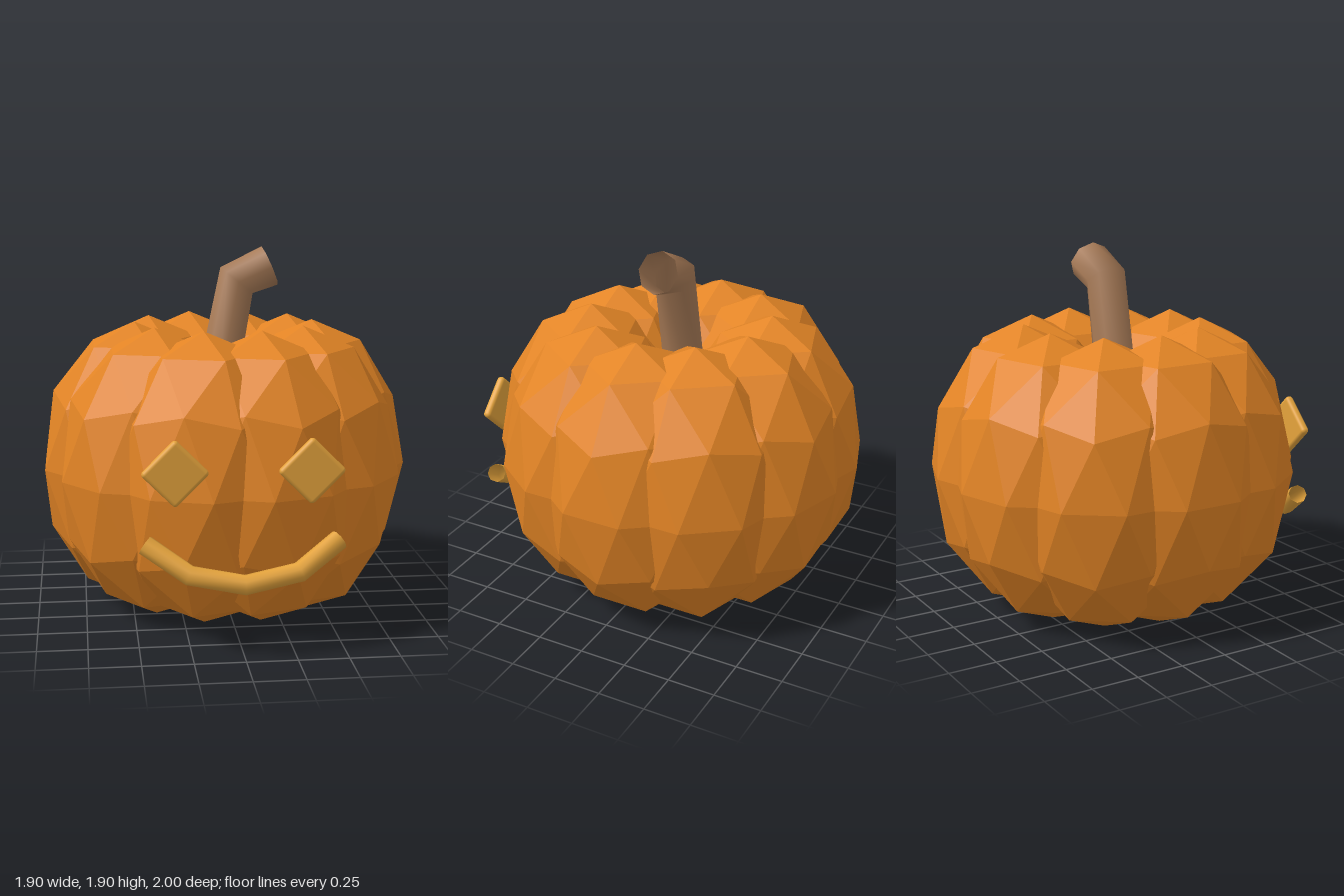
import * as THREE from 'three';
import { RoundedBoxGeometry } from 'three/addons/geometries/RoundedBoxGeometry.js';

// Open eight-sided tube with one constant-radius ring per path point
function pipe(points, radius, side) {
  const n = 8, pos = [], index = [];
  const pts = points.map(p => new THREE.Vector3(...p));
  const dir = (a, b) => new THREE.Vector3().subVectors(b, a).normalize();
  pts.forEach((p, i) => {
    const t = new THREE.Vector3();
    if (i > 0) t.add(dir(pts[i - 1], p));
    if (i < pts.length - 1) t.add(dir(p, pts[i + 1]));
    t.normalize();
    const u = new THREE.Vector3().crossVectors(side, t).normalize();
    const v = new THREE.Vector3().crossVectors(t, u);
    for (let k = 0; k < n; k++) {
      const a = (k / n) * Math.PI * 2;
      const q = p.clone().addScaledVector(u, Math.cos(a) * radius).addScaledVector(v, Math.sin(a) * radius);
      pos.push(q.x, q.y, q.z);
      if (i > 0) {
        const k2 = (k + 1) % n, lo = (i - 1) * n, hi = i * n;
        index.push(lo + k, lo + k2, hi + k, lo + k2, hi + k2, hi + k);
      }
    }
  });
  const g = new THREE.BufferGeometry();
  g.setAttribute('position', new THREE.Float32BufferAttribute(pos, 3));
  g.setIndex(index);
  g.computeVertexNormals();
  return g;
}

export function createModel() {
  const model = new THREE.Group();
  model.name = 'carvedPumpkin';
  const skin = new THREE.MeshStandardMaterial({ name: 'pumpkinOrange', color: 0xe28425, flatShading: true });
  const glow = new THREE.MeshStandardMaterial({ name: 'faceYellow', color: 0xe4a33c, side: THREE.DoubleSide });
  const bark = new THREE.MeshStandardMaterial({ name: 'stemBrown', color: 0xa87b57, side: THREE.DoubleSide });
  const add = (name, geometry, material, parent = model) => {
    const mesh = new THREE.Mesh(geometry, material);
    mesh.name = name;
    parent.add(mesh);
    return mesh;
  };

  // Body: ten stretched, overlapping low-poly spheres, all facing the same way
  const body = new THREE.Group();
  body.name = 'body';
  body.position.set(0, 0.758, -0.045);
  model.add(body);
  const lobe = new THREE.IcosahedronGeometry(1, 1);
  lobe.rotateZ(-Math.atan(2 / (1 + Math.sqrt(5)))); // a vertex points straight up
  lobe.scale(0.504, 0.756, 0.504);
  for (let i = 0; i < 10; i++) {
    const a = (i / 10) * Math.PI * 2;
    add('lobe', lobe, skin, body).position.set(Math.cos(a) * 0.472, 0, Math.sin(a) * 0.472);
  }

  // Stem: bent, open at the tip
  add('stem', pipe([[-0.04, 1.15, -0.045], [0.07, 1.725, -0.045], [0.245, 1.8, -0.045]],
    0.11, new THREE.Vector3(0, 0, 1)), bark);

  // Eyes: rounded square plates turned into diamonds
  const eye = new RoundedBoxGeometry(0.236, 0.236, 0.045, 3, 0.02);
  for (const [name, x] of [['leftEye', 0.327], ['rightEye', -0.327]]) {
    const mesh = add(name, eye, glow);
    mesh.position.set(x, 0.902, 0.875);
    mesh.rotation.z = Math.PI / 4;
  }

  // Mouth: smiling tube lying in a plane that leans forward at the bottom
  add('mouth', pipe([[-0.47, 0.55, 0.842], [-0.265, 0.417, 0.922], [0, 0.37, 0.951],
    [0.265, 0.417, 0.922], [0.47, 0.55, 0.842]], 0.05, new THREE.Vector3(0, 0.52, 0.85)), glow);

  return model;
}
